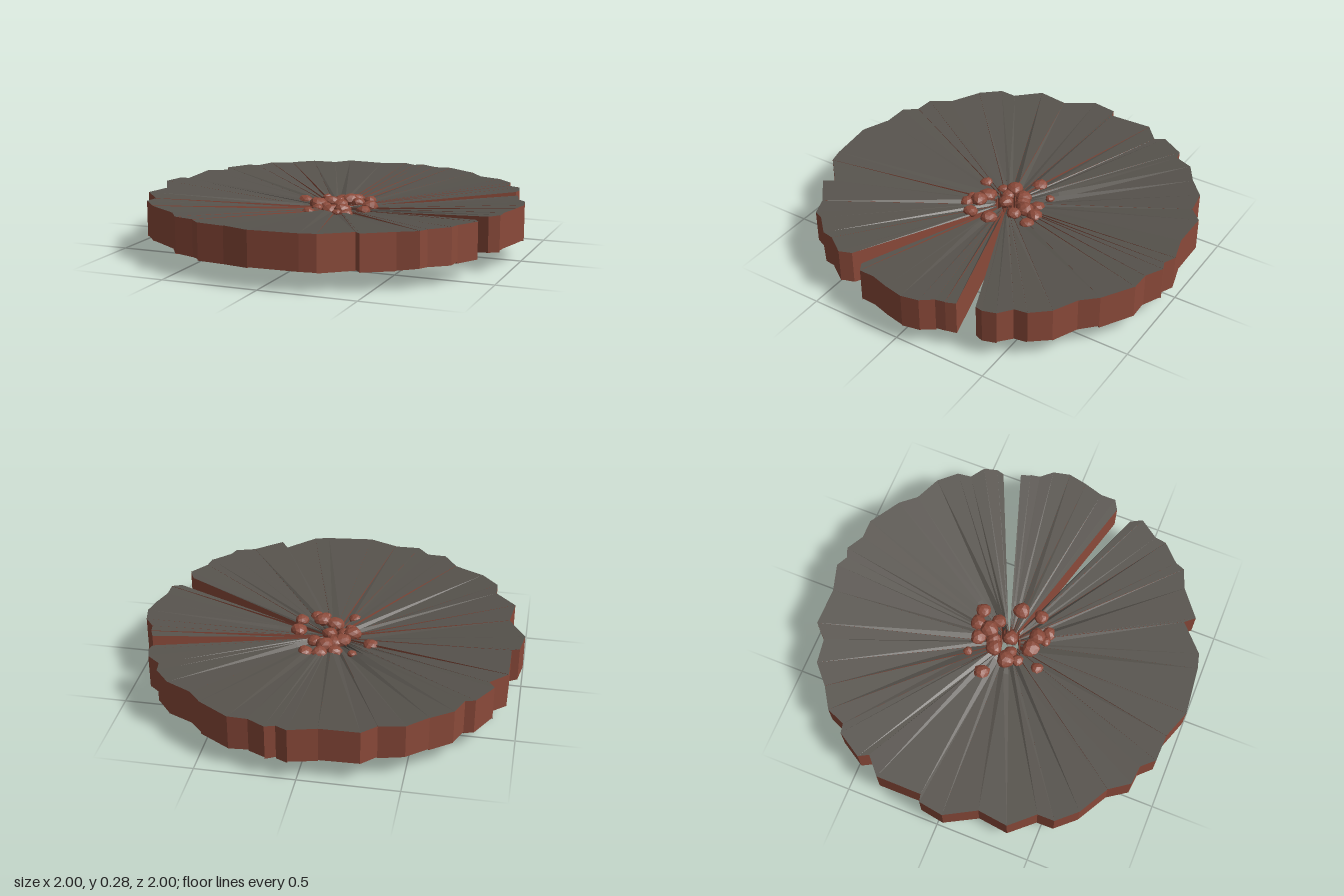
import * as THREE from 'three';

// Small seeded generator, returns values in 0..1
function seeded(seed) {
  return () => {
    seed = (seed * 1664525 + 1013904223) % 4294967296;
    return seed / 4294967296;
  };
}

const TOP = 0.2, TOP_SLOPE = 0.089, BOTTOM = 0.008, BOTTOM_SLOPE = 0.097;

// Rim outlines (x, z): the large cracked sector and the loose wedge
const largeRim = [
  [.86, .36], [.89, .42], [.82, .52], [.81, .58], [.72, .67], [.7, .72], [.6, .76], [.46, .87],
  [.42, .82], [.28, .95], [.2, .97], [-.05, .995], [-.2, .94], [-.34, .935], [-.4, .87], [-.5, .86],
  [-.57, .76], [-.73, .67], [-.82, .57], [-.82, .48], [-.93, .36], [-.91, .2], [-1, .04], [-.98, -.09],
  [-.94, -.1], [-.94, -.34], [-.85, -.42], [-.88, -.47], [-.8, -.6], [-.75, -.61], [-.71, -.71], [-.6, -.78],
  [-.5, -.87], [-.37, -.89], [-.3, -.96], [-.1, -.96], [.04, -1], [.1, -.97], [.15, -.99], [.24, -.94],
  [.34, -.94], [.5, -.84], [.57, -.76], [.7, -.7], [.78, -.61], [.79, -.54], [.86, -.49], [.88, -.42], [.87, -.38],
];
const wedgeRim = [
  [.9, -.29], [.92, -.24], [.93, -.19], [.98, -.13], [1, -.04], [.98, .06], [.95, .16], [.95, .24], [.9, .27],
];

// Loose stones: x, z, radius
const stones = [
  [-.13, -.18, .025], [-.035, -.16, .042], [.04, -.19, .043], [.115, -.19, .04], [-.21, -.07, .045],
  [-.06, -.06, .044], [.025, -.12, .05], [.085, -.09, .038], [-.02, -.08, .042], [-.1, .02, .047],
  [-.05, .03, .034], [-.08, .08, .032], [.02, 0, .04], [.185, 0, .045], [.01, .12, .05],
  [.08, .13, .046], [.19, .11, .038], [-.085, .19, .036], [.07, .18, .027], [.12, .18, .038],
];

// One shard: a tilted slab running from the rim segment a-b towards the centre
function shardGeometry(a, b, rand) {
  const A = new THREE.Vector2(...a), B = new THREE.Vector2(...b);
  const dirA = A.clone().normalize(), dirB = B.clone().normalize();
  const mid = dirA.clone().add(dirB).normalize();
  const midR = 0.12 + rand() * rand() * 0.2;
  const tipR = 0.05 + rand() * 0.045;
  const plan = [
    dirA.clone().lerp(mid, 0.3).multiplyScalar(tipR),
    dirA.clone().multiplyScalar(midR), A, B,
    dirB.clone().multiplyScalar(midR),
    dirB.clone().lerp(mid, 0.3).multiplyScalar(tipR),
  ];
  // Neighbours meet flush at the rim and step apart towards the centre
  const step = [rand() - 0.5, rand() - 0.5], rib = [rand() - 0.3, rand() - 0.3];
  const top = [], low = [];
  plan.forEach((p, i) => {
    const side = i < 3 ? 0 : 1, r = p.length();
    const inner = Math.max(0, 1 - r);
    top.push([p.x, TOP + r * TOP_SLOPE + step[side] * (0.002 + 0.02 * inner), p.y]);
    low.push([p.x, BOTTOM + r * BOTTOM_SLOPE + rib[side] * (0.012 + 0.01 * inner), p.y]);
  });
  const pos = [];
  const quad = (p, q, r, s) => pos.push(...p, ...q, ...r, ...p, ...r, ...s);
  const strips = [[0, 1, 4, 5], [1, 2, 3, 4]];
  for (const [i, j, k, l] of strips) quad(top[l], top[k], top[j], top[i]);
  const crustCount = pos.length / 3;
  for (const [i, j, k, l] of strips) quad(low[i], low[j], low[k], low[l]);
  for (let i = 0; i < 6; i++) {
    const j = (i + 1) % 6;
    quad(low[i], top[i], top[j], low[j]);
  }
  const g = new THREE.BufferGeometry();
  g.setAttribute('position', new THREE.Float32BufferAttribute(pos, 3));
  g.addGroup(0, crustCount, 0);
  g.addGroup(crustCount, pos.length / 3 - crustCount, 1);
  g.computeVertexNormals();
  return g;
}

// Faceted stone: an icosphere squashed by a smooth directional rule
function stoneGeometry(radius, phase) {
  const g = new THREE.IcosahedronGeometry(radius, 1);
  const p = g.attributes.position, v = new THREE.Vector3();
  for (let i = 0; i < p.count; i++) {
    v.fromBufferAttribute(p, i);
    const n = v.clone().divideScalar(radius);
    v.multiplyScalar(1 + 0.1 * Math.sin(3 * n.x + phase) * Math.cos(3 * n.z - phase));
    p.setXYZ(i, v.x, v.y * 0.75, v.z);
  }
  g.computeVertexNormals();
  return g;
}

export function createModel() {
  const model = new THREE.Group();
  model.name = 'crackedGround';
  const crust = new THREE.MeshStandardMaterial({ color: 0x57534d });
  crust.name = 'darkCrust';
  const earth = new THREE.MeshStandardMaterial({ color: 0x8b4a3a });
  earth.name = 'redEarth';
  const rand = seeded(17);

  // Slabs
  const addSlab = (name, rim) => {
    const group = new THREE.Group();
    group.name = name;
    for (let i = 0; i < rim.length - 1; i++) {
      const shard = new THREE.Mesh(shardGeometry(rim[i], rim[i + 1], rand), [crust, earth]);
      shard.name = 'shard';
      group.add(shard);
    }
    model.add(group);
  };
  addSlab('largeSlab', largeRim);
  addSlab('looseWedge', wedgeRim);

  // Stones scattered around the centre
  const pile = new THREE.Group();
  pile.name = 'stones';
  stones.forEach(([x, z, r], i) => {
    const stone = new THREE.Mesh(stoneGeometry(r, i * 1.7), earth);
    stone.name = 'stone';
    stone.position.set(x, 0.21 + rand() * 0.015, z);
    stone.rotation.y = i * 2.4;
    pile.add(stone);
  });
  model.add(pile);
  return model;
}
